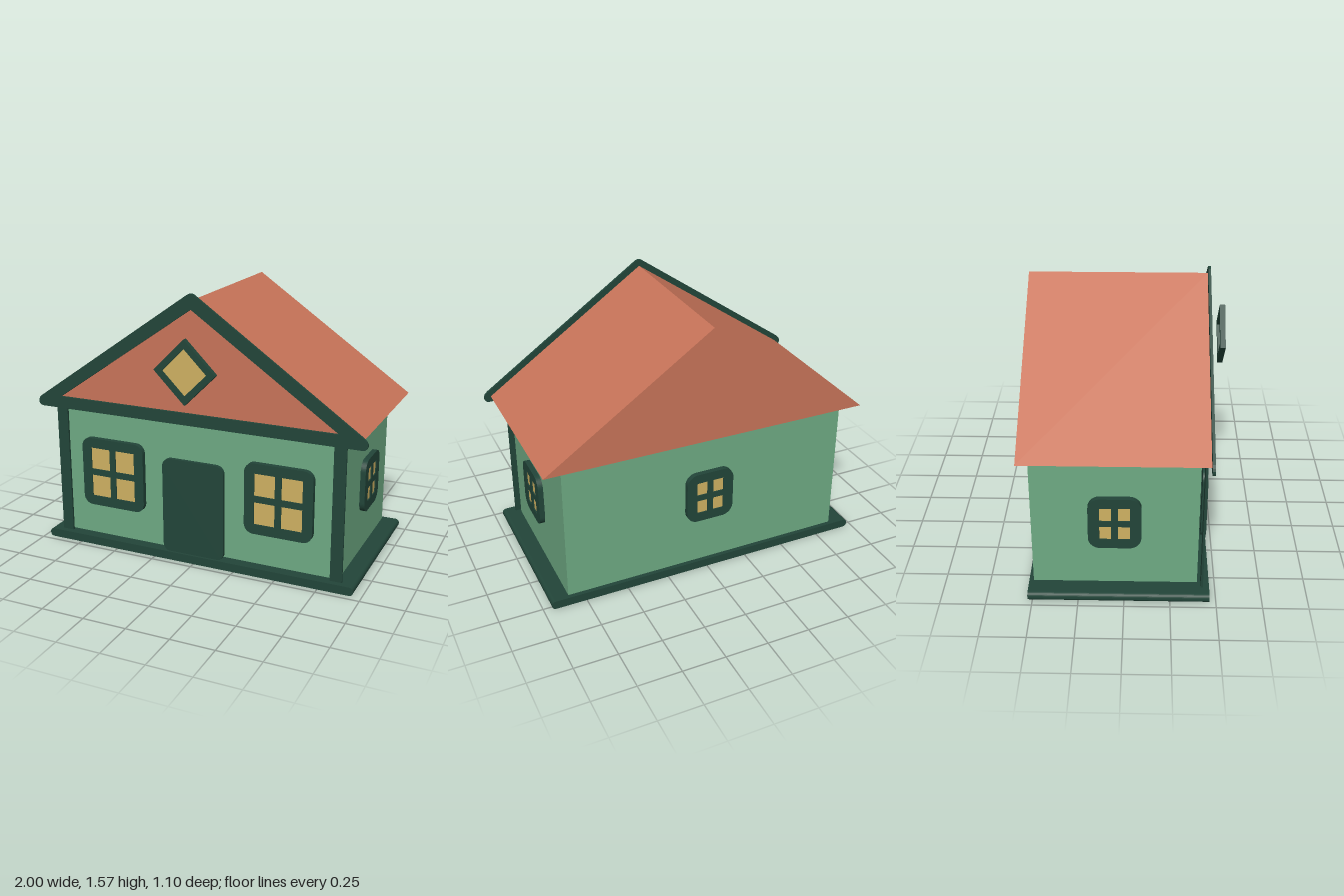
import * as THREE from 'three';

const mat = (name, color) => {
  const m = new THREE.MeshStandardMaterial({ color });
  m.name = name;
  return m;
};

// Rounded rectangle outline centred on (0, 0)
function roundedRect(w, h, r) {
  const s = new THREE.Shape(), x = w / 2, y = h / 2;
  s.moveTo(-x + r, -y);
  s.lineTo(x - r, -y);
  s.absarc(x - r, -y + r, r, -Math.PI / 2, 0);
  s.lineTo(x, y - r);
  s.absarc(x - r, y - r, r, 0, Math.PI / 2);
  s.lineTo(-x + r, y);
  s.absarc(-x + r, y - r, r, Math.PI / 2, Math.PI);
  s.lineTo(-x, -y + r);
  s.absarc(-x + r, -y + r, r, Math.PI, Math.PI * 1.5);
  return s;
}

const polygon = (pts) => pts.map(([x, y]) => new THREE.Vector2(x, y));

function extrude(shape, depth) {
  return new THREE.ExtrudeGeometry(shape, { depth, bevelEnabled: false, curveSegments: 6 });
}

export function createModel() {
  const green = mat('wallGreen', 0x6eaa83);
  const dark = mat('trimDarkGreen', 0x224539);
  const orange = mat('roofTerracotta', 0xc87459);
  const yellow = mat('windowYellow', 0xcfb162);

  const house = new THREE.Group();
  house.name = 'house';

  function add(name, geometry, material, x = 0, y = 0, z = 0, parent = house) {
    const m = new THREE.Mesh(geometry, material);
    m.name = name;
    m.position.set(x, y, z);
    parent.add(m);
    return m;
  }

  // Walls and base slab
  add('walls', new THREE.BoxGeometry(1.7, 0.864, 0.9), green, 0, 0.437, -0.05);
  add('base', extrude(roundedRect(1.92, 0.05, 0.022), 0.99), dark, -0.007, 0.025, -0.525);

  // Gabled roof prism
  const gable = new THREE.Shape(polygon([[-0.96, 0.87], [0.96, 0.87], [0, 1.535]]));
  add('roof', extrude(gable, 0.995), orange, 0, 0, -0.55);

  // Rounded triangular trim around the front gable
  const trim = new THREE.Shape();
  trim.moveTo(-0.968, 0.835);
  trim.lineTo(0.968, 0.835);
  trim.bezierCurveTo(1.002, 0.835, 1.012, 0.872, 0.975, 0.899);
  trim.lineTo(0.03, 1.559);
  trim.quadraticCurveTo(0, 1.585, -0.03, 1.559);
  trim.lineTo(-0.975, 0.899);
  trim.bezierCurveTo(-1.012, 0.872, -1.002, 0.835, -0.968, 0.835);
  trim.holes.push(new THREE.Path(polygon([[-0.845, 0.904], [0, 1.487], [0.845, 0.904]])));
  add('gableTrim', extrude(trim, 0.015), dark, 0, 0, 0.446);

  // Corner posts
  for (const side of [-1, 1]) {
    add('cornerPost', new THREE.BoxGeometry(0.069, 0.83, 0.012), dark, -0.007 + side * 0.352 * 2.42, 0.455, 0.425);
  }

  // Front door
  add('door', extrude(roundedRect(0.379, 0.575, 0.05), 0.022), dark, -0.005, 0.3325, 0.43);

  // Window with four panes; local +z points outward and z = 0 is the inner side
  function addWindow(name, w, h, r, bar, paneX, paneY, position, turn) {
    const group = new THREE.Group();
    group.name = name;
    const frame = roundedRect(w, h, r);
    for (const sx of [-1, 1]) {
      for (const sy of [-1, 1]) {
        const x0 = Math.min(sx * bar, sx * paneX), x1 = Math.max(sx * bar, sx * paneX);
        const y0 = Math.min(sy * bar, sy * paneY), y1 = Math.max(sy * bar, sy * paneY);
        frame.holes.push(new THREE.Path(polygon([[x0, y0], [x0, y1], [x1, y1], [x1, y0]])));
        add('pane', new THREE.BoxGeometry(x1 - x0, y1 - y0, 0.008), yellow, (x0 + x1) / 2, (y0 + y1) / 2, 0.02, group);
      }
    }
    add('frame', extrude(frame, 0.03), dark, 0, 0, 0, group);
    group.position.set(...position);
    group.rotation.y = turn;
    house.add(group);
  }
  addWindow('frontWindowRight', 0.4, 0.417, 0.055, 0.019, 0.141, 0.15, [-0.522, 0.461, 0.418], 0);
  addWindow('frontWindowLeft', 0.4, 0.417, 0.055, 0.019, 0.141, 0.15, [0.508, 0.461, 0.418], 0);
  addWindow('sideWindowLeft', 0.284, 0.313, 0.065, 0.018, 0.081, 0.099, [0.863, 0.475, -0.05], Math.PI / 2);
  addWindow('sideWindowRight', 0.284, 0.313, 0.065, 0.018, 0.081, 0.099, [-0.875, 0.475, -0.05], -Math.PI / 2);
  addWindow('backWindow', 0.284, 0.31, 0.065, 0.018, 0.081, 0.099, [0, 0.507, -0.517], Math.PI);

  // Diamond attic window
  const diamond = (r) => polygon([[0, -r], [r, 0], [0, r], [-r, 0]]);
  const attic = new THREE.Group();
  attic.name = 'atticWindow';
  const atticFrame = new THREE.Shape(diamond(0.183));
  atticFrame.holes.push(new THREE.Path(diamond(0.131).reverse()));
  add('frame', extrude(atticFrame, 0.03), dark, 0, 0, 0, attic);
  add('pane', extrude(new THREE.Shape(diamond(0.131)), 0.008), yellow, 0, 0, 0.016, attic);
  attic.position.set(0, 1.162, 0.521);
  house.add(attic);

  return house;
}
